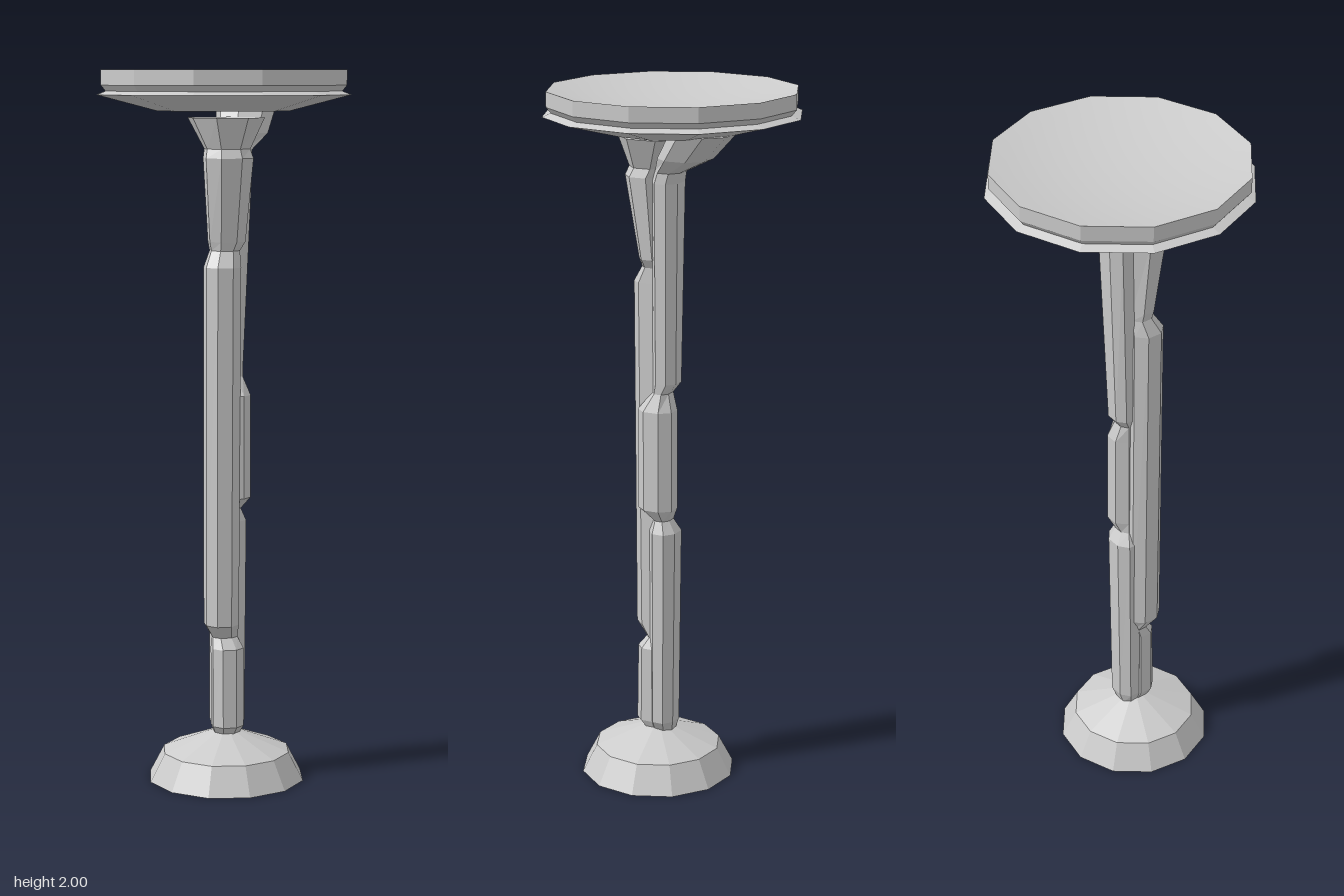
import * as THREE from 'three';

const flat = new THREE.MeshStandardMaterial({ color: 0xcccccc, flatShading: true });
const smooth = new THREE.MeshStandardMaterial({ color: 0xcccccc });
const TURN = 0.122;

// Lofts a chamfered rectangular section through rings of [y, x0, x1, z0, z1]
function loft(name, rings, chamfer = 0.28) {
  const c = 1 - 2 * chamfer;
  const section = [[1, c], [1, -c], [c, -1], [-c, -1], [-1, -c], [-1, c], [-c, 1], [c, 1]];
  const n = section.length, pos = [], idx = [];
  for (const [y, x0, x1, z0, z1] of rings) {
    for (const [u, v] of section) {
      pos.push((x0 + x1) / 2 + u * (x1 - x0) / 2, y, (z0 + z1) / 2 + v * (z1 - z0) / 2);
    }
  }
  for (let i = 0; i < rings.length - 1; i++) {
    for (let j = 0; j < n; j++) {
      const a = i * n + j, b = i * n + (j + 1) % n;
      idx.push(a, b, b + n, a, b + n, a + n);
    }
  }
  const top = (rings.length - 1) * n;
  for (let j = 1; j < n - 1; j++) {
    idx.push(0, j + 1, j, top, top + j, top + j + 1);
  }
  const geo = new THREE.BufferGeometry();
  geo.setAttribute('position', new THREE.Float32BufferAttribute(pos, 3));
  geo.setIndex(idx);
  geo.computeVertexNormals();
  const mesh = new THREE.Mesh(geo, flat);
  mesh.name = name;
  return mesh;
}

// Faceted turned part from [radius, y] pairs
function turned(name, profile, sides, material) {
  const points = profile.map(([r, y]) => new THREE.Vector2(r, y));
  const mesh = new THREE.Mesh(new THREE.LatheGeometry(points, sides, TURN), material);
  mesh.name = name;
  return mesh;
}

export function createModel() {
  const model = new THREE.Group();

  // Base, set slightly forward of the bowl
  const base = turned('base', [[0, 0], [0.224, 0], [0.182, 0.08], [0.04, 0.135], [0, 0.135]], 12, flat);
  base.position.z = 0.05;
  model.add(base);

  // Front strand of the column, notched and flaring at the top
  model.add(loft('frontStrand', [
    [0.12, -0.03, 0.03, 0.02, 0.08],
    [0.155, -0.043, 0.045, 0.02, 0.107],
    [0.38, -0.043, 0.045, 0.02, 0.103],
    [0.41, -0.04, 0.03, 0.02, 0.08],
    [0.45, -0.063, 0.03, 0.015, 0.115],
    [1.46, -0.063, 0.035, 0.02, 0.118],
    [1.505, -0.045, 0.035, 0.02, 0.09],
    [1.53, -0.05, 0.05, 0.02, 0.095],
    [1.76, -0.065, 0.067, 0.02, 0.133],
    [1.785, -0.06, 0.06, 0.01, 0.122],
    [1.87, -0.1, 0.1, -0.05, 0.147],
  ]));

  // Rear strand, bending into a branch under the bowl
  model.add(loft('rearStrand', [
    [0.12, -0.03, 0.03, 0, 0.06],
    [0.16, -0.04, 0.055, -0.012, 0.06],
    [0.74, -0.04, 0.06, -0.02, 0.06],
    [0.775, -0.02, 0.045, 0, 0.05],
    [0.81, -0.02, 0.068, -0.015, 0.09],
    [1.1, -0.02, 0.068, -0.015, 0.09],
    [1.15, -0.02, 0.05, 0, 0.05],
    [1.18, -0.03, 0.052, -0.022, 0.05],
    [1.75, -0.03, 0.08, -0.037, 0.04],
    [1.78, -0.02, 0.08, -0.045, 0.03],
    [1.825, 0, 0.135, -0.14, 0],
    [1.9, 0.01, 0.17, -0.215, -0.05],
  ]));

  // Bowl: faceted shell with a flange, and a smooth dished top
  const bowl = new THREE.Group();
  bowl.name = 'bowl';
  bowl.add(turned('bowlShell', [
    [0, 1.9], [0.175, 1.9], [0.19, 1.888], [0.36, 1.932], [0.335, 1.942], [0.348, 1.958], [0.348, 2],
  ], 12, flat));
  const dish = [];
  for (let i = 0; i <= 8; i++) {
    const r = 1 - i / 8;
    dish.push([0.348 * r, 1.957 + 0.043 * r * r]);
  }
  bowl.add(turned('dish', dish, 12, smooth));
  model.add(bowl);

  return model;
}
